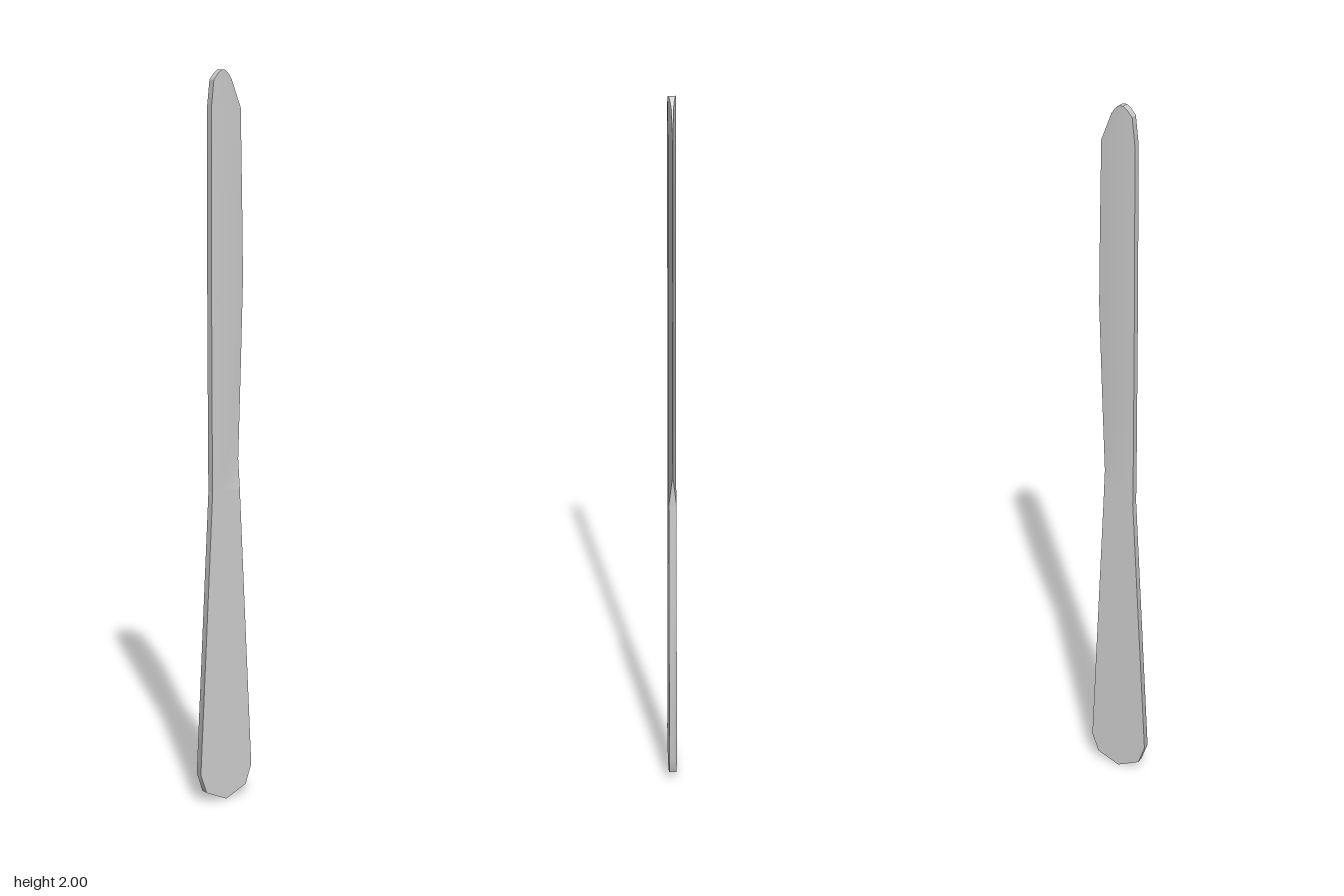
import * as THREE from 'three';
import { toCreasedNormals } from 'three/addons/utils/BufferGeometryUtils.js';

const T = 0.0105; // half thickness

// Closed skin through rings of equal point count, with fan caps at both ends.
function loft(rings) {
  const n = rings[0].length, index = [];
  for (let r = 0; r < rings.length - 1; r++) {
    for (let i = 0; i < n; i++) {
      const a = r * n + i, b = r * n + (i + 1) % n;
      index.push(a, a + n, b, b, a + n, b + n);
    }
  }
  const top = (rings.length - 1) * n;
  for (let i = 1; i < n - 1; i++) {
    index.push(0, i, i + 1, top, top + i + 1, top + i);
  }
  const geometry = new THREE.BufferGeometry();
  geometry.setAttribute('position', new THREE.Float32BufferAttribute(rings.flat(2), 3));
  geometry.setIndex(index);
  return toCreasedNormals(geometry, 0.5);
}

export function createModel() {
  const group = new THREE.Group();
  const material = new THREE.MeshStandardMaterial({ color: 0xcccccc });
  const add = (name, geometry) => {
    const mesh = new THREE.Mesh(geometry, material);
    mesh.name = name;
    group.add(mesh);
  };

  // Handle: flat, flaring to a faceted rounded butt
  const side = [[0.065, 0.03], [0.084, 0.085], [0.044, 0.88]];
  const outline = [[0, 0], ...side, ...side.map(([x, y]) => [-x, y]).reverse()];
  const handle = new THREE.ExtrudeGeometry(
    new THREE.Shape(outline.map(([x, y]) => new THREE.Vector2(x, y))),
    { depth: 2 * T, bevelEnabled: false });
  handle.translate(0, 0, -T);
  add('handle', toCreasedNormals(handle, 0.5));

  // Blade: thick straight spine on -x, ground to a bellied edge on +x
  // each row: height, spine x, edge x, edge half thickness
  const rows = [
    [0.88, -0.044, 0.044, T],
    [0.96, -0.045, 0.045, 0.001],
    [1.2, -0.046, 0.053, 0.0005],
    [1.45, -0.047, 0.06, 0.0005],
    [1.65, -0.047, 0.057, 0.0005],
    [1.9, -0.047, 0.052, 0.0005],
    [1.975, -0.039, 0.022, 0.0025],
    [1.992, -0.025, 0.009, 0.005],
    [2.0, -0.014, -0.003, 0.008],
  ];
  add('blade', loft(rows.map(([y, spine, edge, e]) => {
    const mid = Math.min(0, spine + (edge - spine) * 0.5);
    return [
      [spine, y, -T], [spine, y, T], [mid, y, T],
      [edge, y, e], [edge, y, -e], [mid, y, -T],
    ].map(([x, h, z]) => [x, h, z]).reverse();
  })));

  return group;
}
